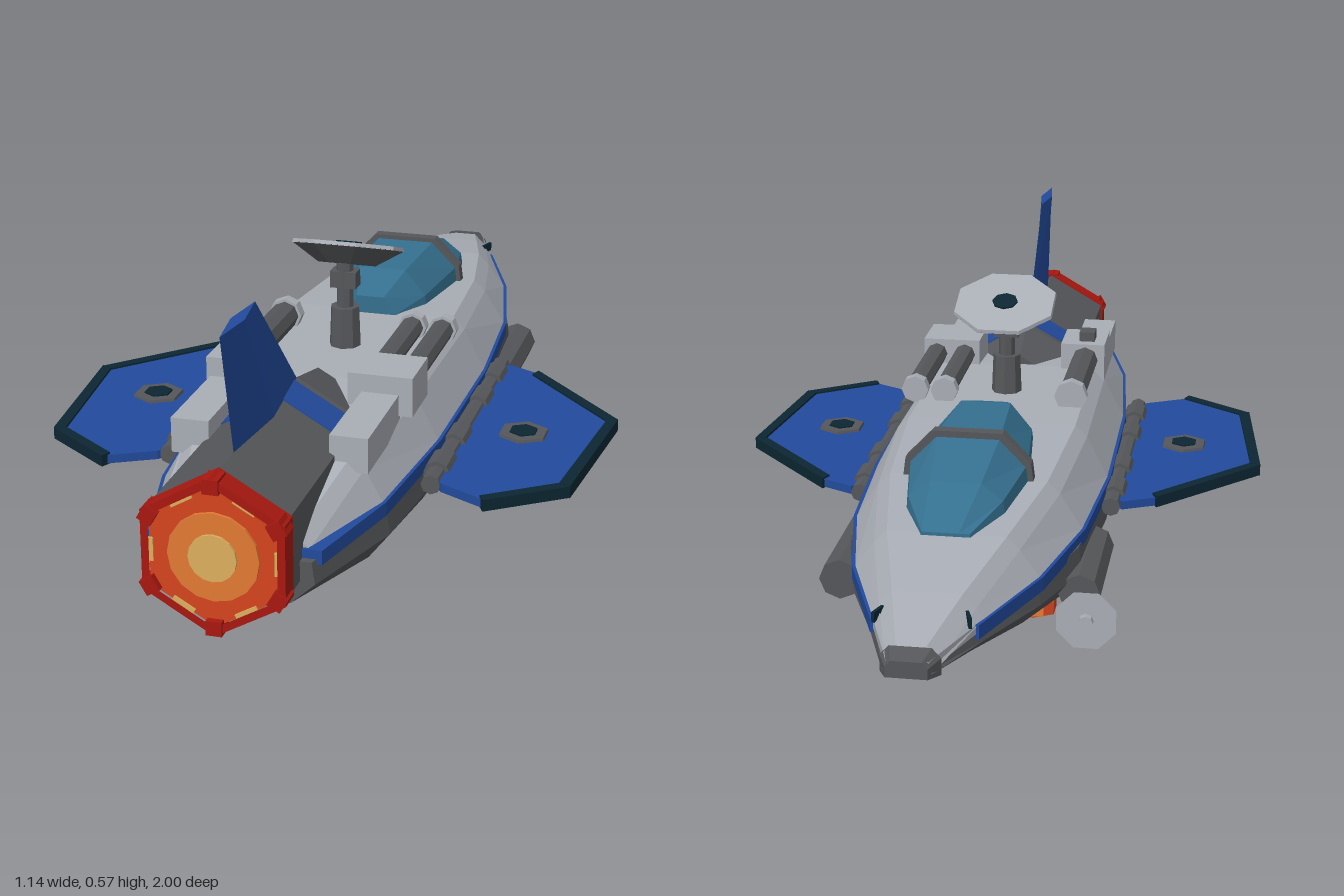
import * as THREE from 'three';

const mat = (name, color) => { const m = new THREE.MeshStandardMaterial({ color }); m.name = name; return m; };

export function createModel() {
  const light = mat('light grey', 0xa9adb5), dark = mat('dark grey', 0x55575a), blue = mat('blue', 0x224a9c),
    navy = mat('dark teal', 0x0c2632), glass = mat('canopy glass', 0x35708f), red = mat('deep red', 0xa81810),
    flame = mat('flame red', 0xd4441f), orange = mat('orange', 0xe27a34), yellow = mat('yellow', 0xdcae5e),
    brown = mat('brown', 0x5c3018);
  const root = new THREE.Group();
  root.name = 'spacecraft';

  // Adds a faceted mesh
  const add = (name, geo, m, x = 0, y = 0, z = 0, parent = root) => {
    const g = geo.index ? geo.toNonIndexed() : geo;
    g.computeVertexNormals();
    const mesh = new THREE.Mesh(g, m);
    mesh.name = name;
    mesh.position.set(x, y, z);
    parent.add(mesh);
    return mesh;
  };
  const box = (name, m, w, h, d, x, y, z) => add(name, new THREE.BoxGeometry(w, h, d), m, x, y, z);
  const rod = (name, m, r0, r1, len, n, x, y, z) => add(name, new THREE.CylinderGeometry(r0, r1, len, n), m, x, y, z);
  const rodZ = (name, m, rBack, rFront, len, n, x, y, z) =>
    add(name, new THREE.CylinderGeometry(rBack, rFront, len, n).rotateX(Math.PI / 2), m, x, y, z);

  // Mirrors a half profile (listed bottom to top on +x) into a closed ring
  const sym = (pts) => [...pts, ...pts.slice().reverse().map(([x, y]) => [-x, y])];
  // Skins rings ordered from -z to +z, with end caps
  const loft = (sections) => {
    const v = [], put = (...ps) => ps.forEach((p) => v.push(...p));
    const rings = sections.map(([z, half]) => sym(half).map(([x, y]) => [x, y, z]));
    const n = rings[0].length;
    for (let i = 0; i + 1 < rings.length; i++) for (let j = 0; j < n; j++) {
      const k = (j + 1) % n, a = rings[i], b = rings[i + 1];
      put(a[j], a[k], b[k], a[j], b[k], b[j]);
    }
    const first = rings[0], last = rings[rings.length - 1];
    for (let j = 1; j + 1 < n; j++) {
      put(last[0], last[j], last[j + 1]);
      put(first[0], first[j + 1], first[j]);
    }
    const g = new THREE.BufferGeometry();
    g.setAttribute('position', new THREE.Float32BufferAttribute(v, 3));
    return g;
  };
  const shape = (pts) => new THREE.Shape(pts.map(([x, y]) => new THREE.Vector2(x, y)));
  // Horizontal plate from an x,z outline, its top at y = 0
  const plate = (pts, h) => new THREE.ExtrudeGeometry(shape(pts), { depth: h, bevelEnabled: false }).rotateX(Math.PI / 2);

  // Upper hull: z, edge half width, deck half width, deck height
  add('upperHull', loft([
    [-0.99, 0.038, 0.028, 0.17], [-0.8, 0.105, 0.075, 0.212], [-0.6, 0.178, 0.125, 0.245], [-0.35, 0.23, 0.17, 0.265],
    [-0.05, 0.25, 0.19, 0.28], [0.35, 0.245, 0.185, 0.28], [0.66, 0.215, 0.165, 0.255], [0.88, 0.16, 0.125, 0.19],
  ].map(([z, w, t, y]) => [z, [[w, 0.15], [w, 0.168], [t + 0.015, y - 0.025], [t - 0.01, y]]])), light);

  // Lower hull: z, edge half width, keel half width, keel height
  add('lowerHull', loft([
    [-0.99, 0.038, 0.025, 0.14], [-0.8, 0.1, 0.08, 0.102], [-0.6, 0.175, 0.145, 0.07], [-0.4, 0.23, 0.195, 0.042],
    [-0.1, 0.248, 0.215, 0.03], [0.35, 0.245, 0.215, 0.035], [0.65, 0.22, 0.185, 0.045], [0.9, 0.15, 0.11, 0.065],
  ].map(([z, w, b, y]) => [z, [[b, y], [w + 0.006, (y + 0.15) / 2], [w, 0.15]]])), dark);

  // Blue belt round the hull edge
  add('hullStripe', loft([
    [-0.83, 0.095], [-0.6, 0.18], [-0.35, 0.232], [-0.05, 0.252], [0.35, 0.247], [0.66, 0.217], [0.885, 0.16],
  ].map(([z, w]) => [z, [[w + 0.005, 0.14], [w + 0.005, 0.168]]])), blue);
  add('noseCap', loft([[-1, [[0.038, 0.138], [0.038, 0.158], [0.028, 0.17]]],
    [-0.96, [[0.055, 0.13], [0.055, 0.162], [0.038, 0.18]]]]), dark);

  // Canopy: z, half width, roof height
  add('canopy', loft([
    [-0.61, 0.05, 0.25], [-0.5, 0.1, 0.31], [-0.34, 0.128, 0.353], [-0.13, 0.105, 0.35], [-0.03, 0.06, 0.318],
  ].map(([z, w, y]) => [z, [[w, 0.23], [w * 0.93, 0.25 + (y - 0.25) * 0.45], [w * 0.5, y]]])), glass);
  add('canopyFrame', loft([-0.355, -0.33].map((z) => [z, [[0.135, 0.24], [0.127, 0.302], [0.07, 0.362]]])), dark);

  // Engine housing with six sides, nozzle rim and glowing face
  const ey = 0.185;
  rodZ('engineHousing', dark, 0.148, 0.148, 0.46, 6, 0, ey, 0.73);
  rodZ('engineCowl', dark, 0.148, 0.115, 0.14, 6, 0, ey, 0.43);
  rodZ('engineBand', blue, 0.151, 0.151, 0.09, 6, 0, ey, 0.565);
  const hexagon = (r) => Array.from({ length: 6 }, (_, i) => [r * Math.sin(i * Math.PI / 3), r * Math.cos(i * Math.PI / 3)]);
  const rim = shape(hexagon(0.153));
  rim.holes.push(new THREE.Path(hexagon(0.136).map((p) => new THREE.Vector2(...p))));
  add('nozzleRim', new THREE.ExtrudeGeometry(rim, { depth: 0.045, bevelEnabled: false }), red, 0, ey, 0.95);
  rodZ('nozzleFace', flame, 0.138, 0.138, 0.04, 6, 0, ey, 0.967);
  rodZ('nozzleGlow', orange, 0.085, 0.085, 0.006, 16, 0, ey, 0.99);
  rodZ('nozzleCore', yellow, 0.045, 0.045, 0.006, 16, 0, ey, 0.995);
  for (let i = 0; i < 6; i++) {
    const a = i * Math.PI / 3, b = a + Math.PI / 6;
    const p = box('nozzleLight', yellow, 0.009, 0.045, 0.012, 0.116 * Math.cos(a), ey + 0.116 * Math.sin(a), 0.985);
    p.rotation.z = a;
    const c = box('nozzleClamp', red, 0.028, 0.03, 0.04, 0.136 * Math.cos(b), ey + 0.136 * Math.sin(b), 0.98);
    c.rotation.z = b;
  }

  // Tail fin, tapered to its edges
  const fin = (x, y, z) => [x, y, z];
  const finRing = [[0.32, 0.49, 0.87], [0.57, 0.74, 0.93]].map(([y, f, b]) =>
    [fin(0, y, f), fin(-0.013, y, (f + b) / 2), fin(0, y, b), fin(0.013, y, (f + b) / 2)]);
  const fv = [];
  for (let j = 0; j < 4; j++) {
    const [lo, hi] = finRing, k = (j + 1) % 4;
    [lo[j], hi[k], hi[j], lo[j], lo[k], hi[k]].forEach((p) => fv.push(...p));
  }
  [0, 1, 2, 0, 2, 3].forEach((i) => fv.push(...finRing[1][i]));
  const finGeo = new THREE.BufferGeometry();
  finGeo.setAttribute('position', new THREE.Float32BufferAttribute(fv, 3));
  blue.side = THREE.DoubleSide;
  add('tailFin', finGeo, blue);

  // Deck machinery
  box('rightDeckBlock', light, 0.1, 0.085, 0.12, -0.15, 0.297, 0.4);
  box('rightDeckVent', dark, 0.035, 0.022, 0.04, -0.157, 0.35, 0.385);
  box('leftDeckBlock', light, 0.13, 0.08, 0.12, 0.155, 0.297, 0.4);
  for (const s of [-1, 1]) {
    box('deckFairing', light, 0.075, 0.07, 0.23, s * 0.155, 0.265, 0.565);
  }
  for (const [x, r] of [[-0.155, 0.03], [0.125, 0.024], [0.19, 0.024]]) {
    rodZ('deckPipe', dark, r, r, 0.27, 8, x, 0.303, 0.21);
    rodZ('deckPipeCollar', light, r + 0.006, r + 0.006, 0.025, 8, x, 0.303, 0.08);
  }

  // Dish antenna on its mast
  rod('mastBase', dark, 0.03, 0.034, 0.1, 8, 0, 0.315, 0.165);
  rod('mast', dark, 0.018, 0.018, 0.1, 8, 0, 0.41, 0.165);
  box('mastJoint', dark, 0.055, 0.035, 0.035, 0, 0.425, 0.165);
  const dish = new THREE.Group();
  dish.name = 'dish';
  dish.position.set(0, 0.485, 0.14);
  dish.rotation.x = -0.34;
  root.add(dish);
  add('dishBowl', new THREE.CylinderGeometry(0.117, 0.06, 0.036, 8, 1).rotateY(Math.PI / 8), dark, 0, -0.018, 0, dish);
  add('dishFace', new THREE.CylinderGeometry(0.115, 0.117, 0.008, 8).rotateY(Math.PI / 8), light, 0, 0.003, 0, dish);
  add('dishFeed', new THREE.CylinderGeometry(0.028, 0.028, 0.006, 8), navy, 0, 0.008, 0, dish);

  // Side dish, on the right only
  const small = rodZ('sideDish', light, 0.045, 0.063, 0.02, 8, -0.262, 0.06, -0.54);
  small.rotation.z = Math.PI / 8;
  rodZ('sideDishFeed', light, 0.015, 0.015, 0.02, 8, -0.262, 0.06, -0.555);
  rodZ('sideDishStem', light, 0.016, 0.012, 0.08, 8, -0.255, 0.06, -0.5);

  // Paired parts
  for (const s of [-1, 1]) {
    const flip = (pts) => pts.map(([x, z]) => [s * x, z]);
    // Wing and its edge trim
    add('wing', plate(flip([[0.26, -0.09], [0.29, -0.14], [0.36, -0.105], [0.56, 0.12], [0.525, 0.46], [0.385, 0.56],
      [0.29, 0.51], [0.26, 0.47]]), 0.018), blue, 0, 0.148, 0);
    add('wingTrimFront', plate(flip([[0.36, -0.112], [0.57, 0.115], [0.55, 0.128], [0.35, -0.09]]), 0.024), navy, 0, 0.152, 0);
    add('wingTrimTip', plate(flip([[0.57, 0.115], [0.533, 0.465], [0.51, 0.455], [0.548, 0.12]]), 0.026), navy, 0, 0.153, 0);
    add('wingTrimRear', plate(flip([[0.533, 0.465], [0.385, 0.57], [0.375, 0.55], [0.515, 0.45]]), 0.024), navy, 0, 0.152, 0);
    // Port on top, lift thrusters below
    rod('wingPort', dark, 0.052, 0.054, 0.008, 6, s * 0.395, 0.15, 0.23);
    rod('wingPortCore', navy, 0.03, 0.03, 0.004, 6, s * 0.395, 0.155, 0.23);
    for (const [x, z] of [[0.405, 0.06], [0.435, 0.235], [0.41, 0.41]]) {
      rod('liftThruster', brown, 0.056, 0.048, 0.022, 8, s * x, 0.121, z);
      rod('liftThrusterRing', dark, 0.038, 0.036, 0.004, 8, s * x, 0.109, z);
      rod('liftThrusterCore', brown, 0.022, 0.022, 0.004, 8, s * x, 0.107, z);
    }
    // Hinge
    rodZ('hingeRod', dark, 0.02, 0.02, 0.66, 8, s * 0.268, 0.14, 0.175);
    for (const z of [-0.07, 0.07, 0.28, 0.42]) rodZ('hingeKnuckle', dark, 0.028, 0.028, 0.07, 8, s * 0.268, 0.14, z);
    // Side pod
    rodZ('sidePod', dark, 0.042, 0.042, 0.26, 8, s * 0.24, 0.08, -0.345);
    // Nose sensors
    const eye = box('noseSensor', navy, 0.006, 0.02, 0.035, s * 0.083, 0.182, -0.84);
    eye.rotation.y = -s * 0.33;
    // Belly thrusters
    for (const z of [-0.41, 0.41]) {
      rod('bellyThruster', flame, 0.046, 0.046, 0.026, 6, s * 0.145, 0.028, z);
      rod('bellyThrusterGlow', orange, 0.033, 0.033, 0.006, 6, s * 0.145, 0.014, z);
      for (const d of [-1, 1]) box('bellyThrusterLight', orange, 0.045, 0.016, 0.006, s * 0.145, 0.027, z + d * 0.045);
    }
  }
  return root;
}
